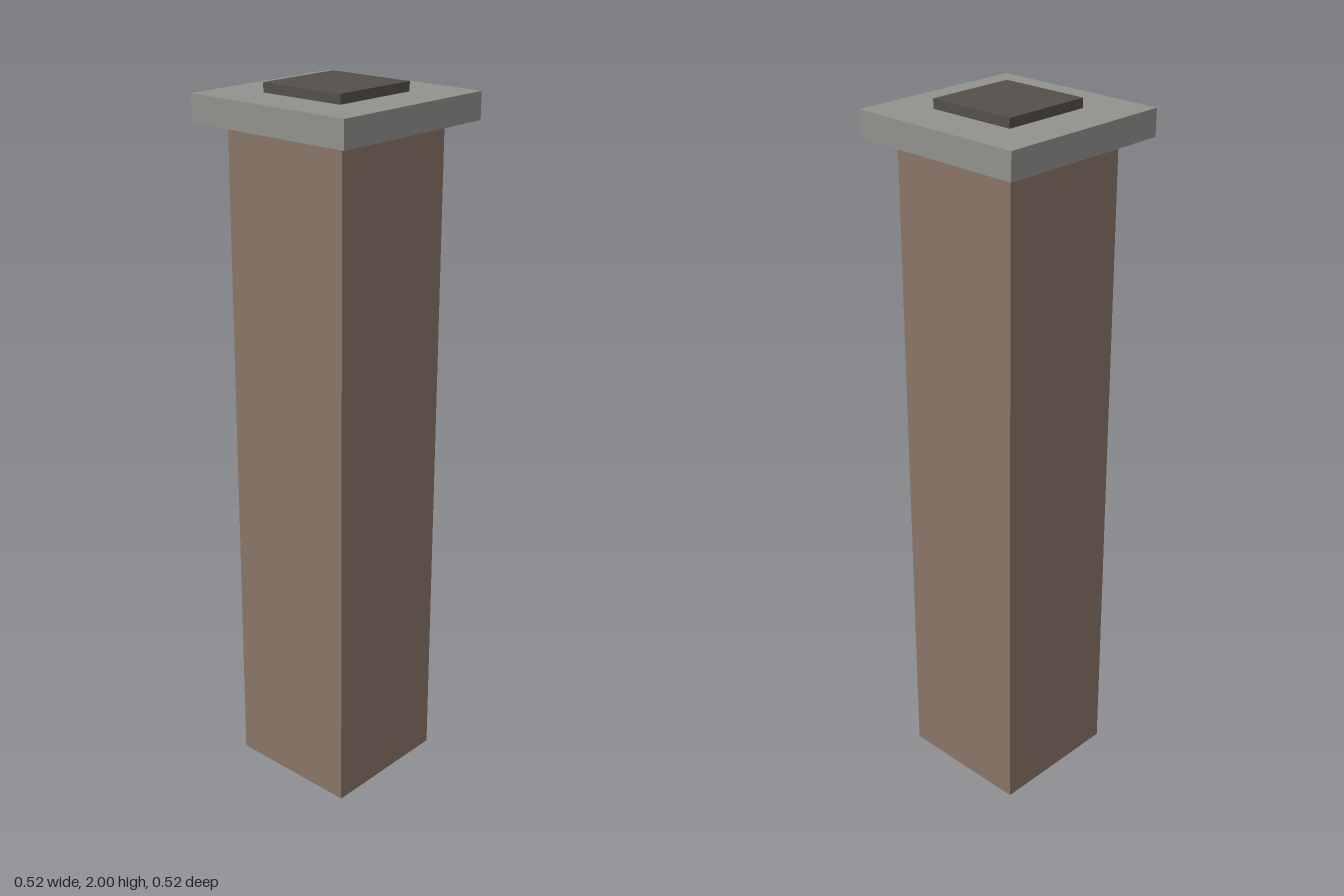
import * as THREE from 'three';

// Square block standing on height y0 and reaching y1
function block(name, width, y0, y1, color) {
  const mesh = new THREE.Mesh(
    new THREE.BoxGeometry(width, y1 - y0, width),
    new THREE.MeshStandardMaterial({ color, flatShading: true })
  );
  mesh.name = name;
  mesh.position.y = (y0 + y1) / 2;
  return mesh;
}

export function createModel() {
  const group = new THREE.Group();
  group.name = 'chimney';
  group.add(
    block('shaft', 0.393, 0, 1.9, 0x8a7567), // tall brown stack
    block('capSlab', 0.524, 1.9, 1.974, 0x92938d), // overhanging grey slab
    block('flueCover', 0.263, 1.974, 2, 0x544f4a) // dark plate on top
  );
  return group;
}
